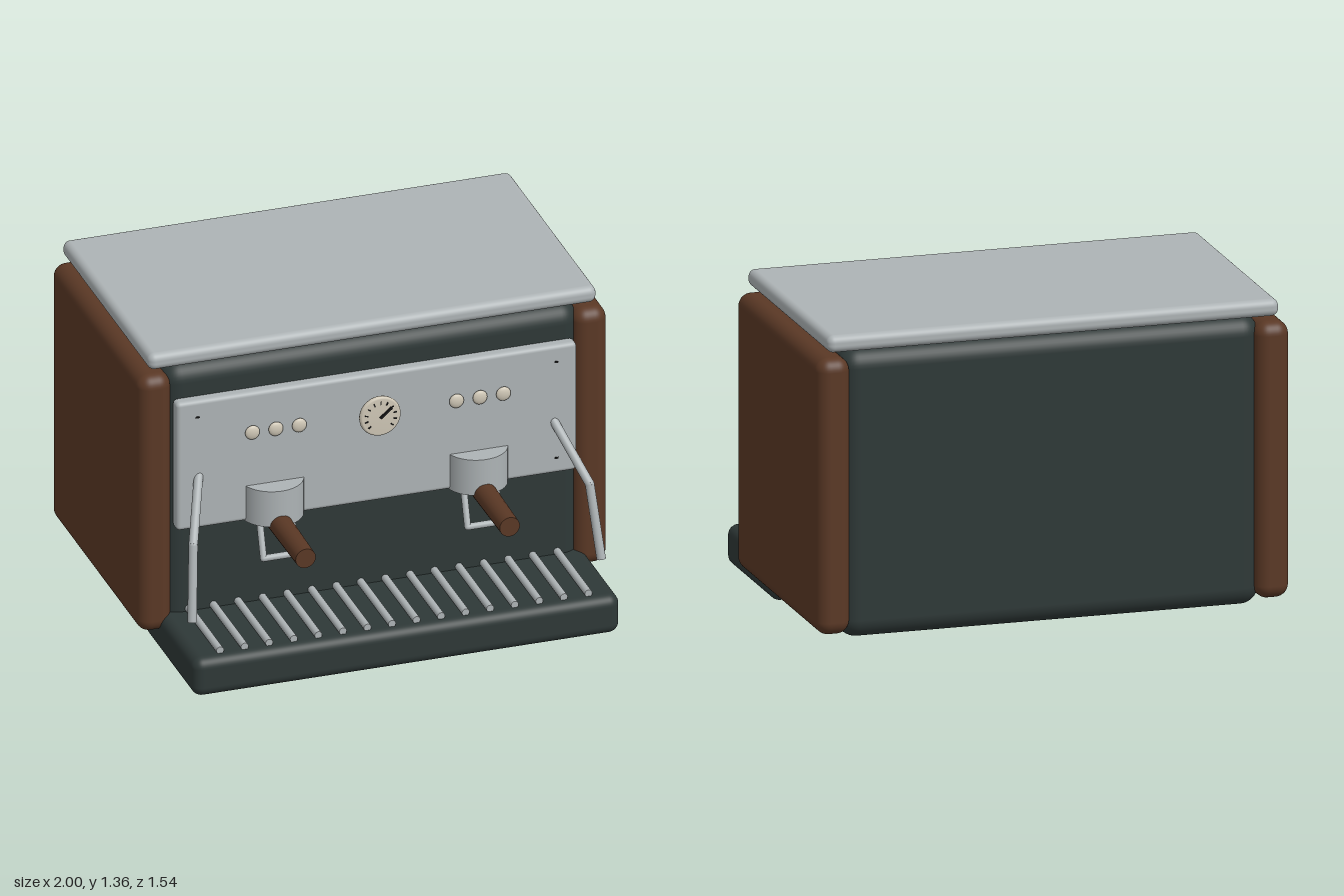
import * as THREE from 'three';
import { RoundedBoxGeometry } from 'three/addons/geometries/RoundedBoxGeometry.js';

const material = (name, color) => {
  const m = new THREE.MeshStandardMaterial({ color });
  m.name = name;
  return m;
};

export function createModel() {
  const model = new THREE.Group();
  model.name = 'espressoMachine';
  const steel = material('brushed steel', 0xadb3b5);
  const wood = material('walnut', 0x5a3825);
  const dark = material('dark enamel', 0x2e3837);
  const cream = material('cream', 0xcfc7b6);
  const black = material('black', 0x161616);

  const add = (name, geometry, mat, x = 0, y = 0, z = 0, parent = model) => {
    const mesh = new THREE.Mesh(geometry, mat);
    mesh.name = name;
    mesh.position.set(x, y, z);
    parent.add(mesh);
    return mesh;
  };
  // Rounded block given by its extents on each axis
  const block = (name, mat, [x0, x1], [y0, y1], [z0, z1], r) =>
    add(name, new RoundedBoxGeometry(x1 - x0, y1 - y0, z1 - z0, 5, r), mat,
      (x0 + x1) / 2, (y0 + y1) / 2, (z0 + z1) / 2);
  // Straight round rod with capped ends
  const rod = (name, mat, a, b, r0, r1 = r0, parent = model) => {
    const from = new THREE.Vector3(...a), to = new THREE.Vector3(...b);
    const dir = to.clone().sub(from);
    const mesh = add(name, new THREE.CylinderGeometry(r1, r0, dir.length(), 20), mat, 0, 0, 0, parent);
    mesh.position.copy(from).addScaledVector(dir, 0.5);
    mesh.quaternion.setFromUnitVectors(new THREE.Vector3(0, 1, 0), dir.normalize());
    return mesh;
  };
  const ball = (name, mat, p, r, parent = model) =>
    add(name, new THREE.SphereGeometry(r, 16, 12), mat, ...p, parent);

  // Housing, lid, tray and front panel
  block('body', dark, [-0.89, 0.89], [0.07, 1.283], [-0.74, 0.335], 0.08);
  block('lid', steel, [-0.955, 0.955], [1.283, 1.355], [-0.76, 0.34], 0.03);
  block('dripTray', dark, [-0.91, 0.91], [0, 0.172], [0.14, 0.772], 0.045);
  block('frontPanel', steel, [-0.853, 0.853], [0.565, 1.143], [0.325, 0.385], 0.018);

  // Drip tray slats
  for (let i = 0; i < 16; i++) {
    const x = -0.785 + i * 0.10467;
    rod('traySlat', steel, [x, 0.184, 0.32], [x, 0.184, 0.73], 0.016);
  }

  // Gauge: stem, dial, ticks and needle
  const gauge = new THREE.Group();
  gauge.name = 'gauge';
  gauge.position.set(0, 0.97, 0);
  model.add(gauge);
  rod('gaugeStem', cream, [0, 0, 0.38], [0, 0, 0.412], 0.025, 0.025, gauge);
  const rim = [[0, 0.41], [0.078, 0.41], [0.086, 0.415], [0.088, 0.423], [0.085, 0.431], [0.078, 0.435], [0, 0.435]];
  add('gaugeDial', new THREE.LatheGeometry(rim.map(([r, h]) => new THREE.Vector2(r, h)), 48), cream, 0, 0, 0, gauge)
    .rotation.x = Math.PI / 2;
  for (let i = 0; i < 11; i++) {
    const a = THREE.MathUtils.degToRad(-40 + i * 26);
    add('gaugeTick', new THREE.BoxGeometry(0.014, 0.005, 0.004), black,
      Math.cos(a) * 0.062, Math.sin(a) * 0.062, 0.436, gauge).rotation.z = a;
  }
  add('gaugeNeedle', new THREE.BoxGeometry(0.064, 0.009, 0.008), black, 0.02, 0.018, 0.442, gauge)
    .rotation.z = 0.7;

  for (const s of [-1, 1]) {
    // Wooden side panel
    const [x0, x1] = s > 0 ? [0.857, 1] : [-1, -0.857];
    block('sidePanel', wood, [x0, x1], [0.102, 1.26], [-0.772, 0.355], 0.055);

    // Push buttons
    for (const x of [0.335, 0.435, 0.535]) {
      add('button', new THREE.SphereGeometry(0.031, 24, 16), cream, s * x, 0.97, 0.398).scale.z = 0.42;
    }

    // Panel screws
    for (const y of [0.635, 1.07]) {
      add('screwSlot', new THREE.BoxGeometry(0.018, 0.007, 0.006), black, s * 0.765, y, 0.385);
    }

    // Brew group with portafilter handle and double spout
    const group = new THREE.Group();
    group.name = 'brewGroup';
    group.position.x = s * 0.435;
    model.add(group);
    add('groupHead', new THREE.CylinderGeometry(0.13, 0.13, 0.16, 48), steel, 0, 0.645, 0.345, group);
    rod('handle', wood, [0, 0.567, 0.38], [0, 0.563, 0.772], 0.048, 0.043, group);
    const spout = [[-0.066, 0.57, 0.385], [-0.073, 0.424, 0.458], [0.073, 0.424, 0.458], [0.066, 0.57, 0.385]];
    for (let i = 0; i < 3; i++) {
      rod('spout', steel, spout[i], spout[i + 1], 0.014, 0.014, group);
      if (i) ball('spoutElbow', steel, spout[i], 0.014, group);
    }

    // Bent steam wand
    const wand = [[s * 0.757, 0.8, 0.375], [s * 0.845, 0.592, 0.567], [s * 0.872, 0.28, 0.633]];
    rod('steamWandUpper', steel, wand[0], wand[1], 0.019);
    rod('steamWandLower', steel, wand[1], wand[2], 0.019);
    ball('steamWandJoint', steel, wand[0], 0.019);
    ball('steamWandElbow', steel, wand[1], 0.019);
  }
  return model;
}
